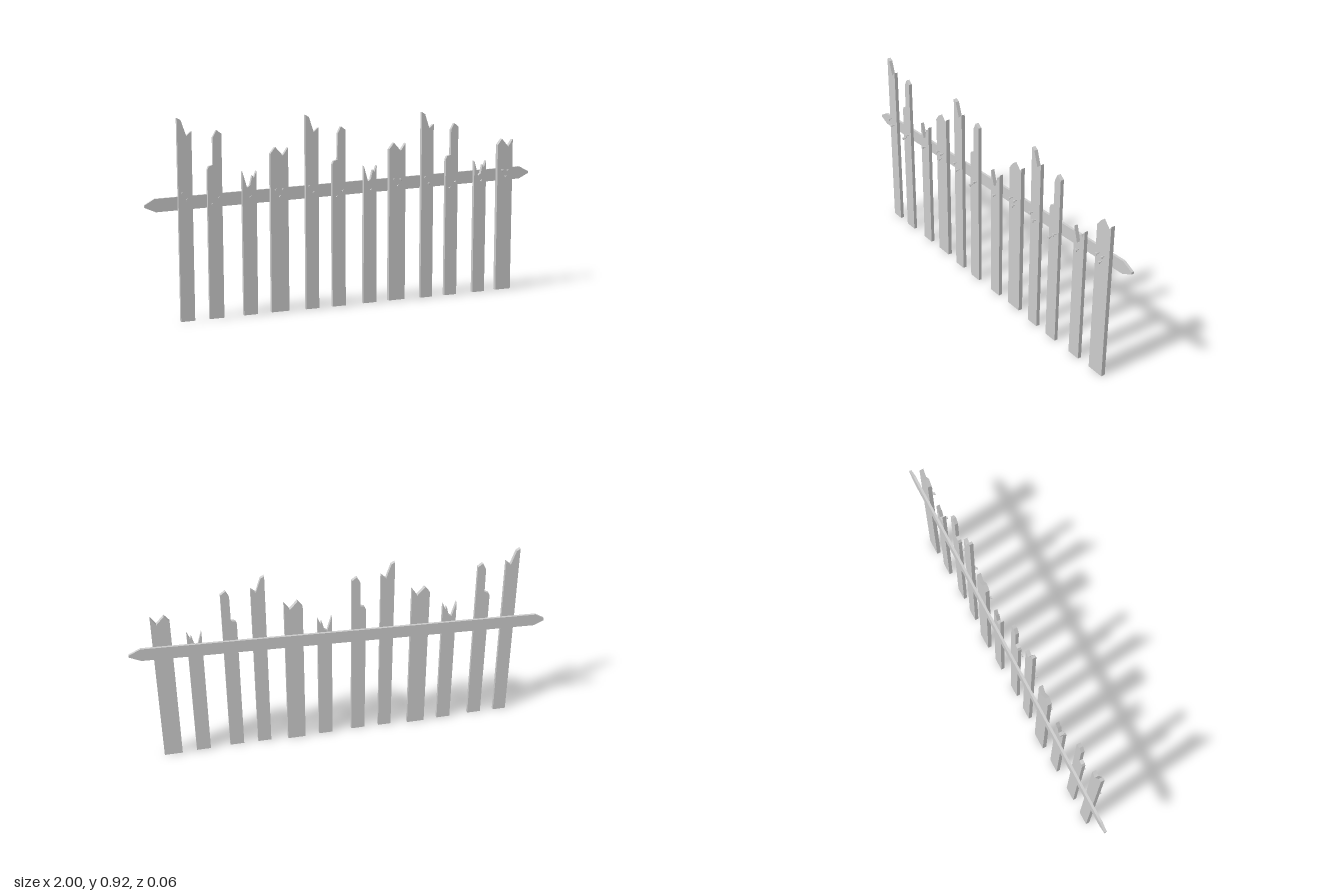
import * as THREE from 'three';

const material = new THREE.MeshStandardMaterial({ color: 0xcccccc, flatShading: true });

// Flat board cut from an outline, lying between two depths
function board(name, points, zBack, zFront) {
  const shape = new THREE.Shape(points.map(([x, y]) => new THREE.Vector2(x, y)));
  const geometry = new THREE.ExtrudeGeometry(shape, { depth: zFront - zBack, bevelEnabled: false });
  geometry.translate(0, 0, zBack);
  const mesh = new THREE.Mesh(geometry, material);
  mesh.name = name;
  return mesh;
}

// Nail sticking out of the front of a plank
function nail(x, y, z) {
  const group = new THREE.Group();
  group.name = 'nail';
  const shaft = new THREE.Mesh(new THREE.CylinderGeometry(0.003, 0.003, 0.018, 6), material);
  shaft.name = 'nailShaft';
  shaft.position.y = 0.007;
  const head = new THREE.Mesh(new THREE.CylinderGeometry(0.007, 0.007, 0.005, 8), material);
  head.name = 'nailHead';
  head.position.y = 0.0175;
  group.add(shaft, head);
  group.rotation.x = Math.PI / 2;
  group.position.set(x, y, z);
  return group;
}

// Four plank types: edges, depth, broken top (left to right), nails, nail lift per repeat
const planks = [
  {
    name: 'tallSplitPlank', left: -0.855, right: -0.79, back: -0.006, front: 0.012,
    top: [[-0.855, 0.92], [-0.838, 0.91], [-0.814, 0.84], [-0.807, 0.845], [-0.79, 0.86]],
    nails: [[-0.84, 0.586], [-0.818, 0.556]], lift: [0, 0.002, 0.015],
  },
  {
    name: 'steppedPlank', left: -0.72, right: -0.652, back: -0.005, front: 0.012,
    top: [[-0.72, 0.685], [-0.713, 0.7], [-0.693, 0.706], [-0.692, 0.83], [-0.675, 0.862], [-0.652, 0.845]],
    nails: [[-0.7, 0.53], [-0.671, 0.557]], lift: [0, 0, 0.014],
  },
  {
    name: 'shortJaggedPlank', left: -0.555, right: -0.487, back: -0.01, front: 0.008,
    top: [[-0.555, 0.67], [-0.533, 0.595], [-0.518, 0.605], [-0.507, 0.65], [-0.5, 0.637], [-0.487, 0.67]],
    nails: [[-0.519, 0.552]], lift: [0, 0.003, 0.018],
  },
  {
    name: 'widePlank', left: -0.417, right: -0.33, back: -0.016, front: 0.004,
    top: [[-0.417, 0.745], [-0.393, 0.775], [-0.356, 0.735], [-0.33, 0.772]],
    nails: [[-0.395, 0.578], [-0.361, 0.578], [-0.374, 0.546]], lift: [0, 0.02, 0.038],
  },
];

export function createModel() {
  const fence = new THREE.Group();
  fence.name = 'brokenFence';

  // Sloping rail with pointed ends, behind the planks
  fence.add(board('rail', [
    [-1, 0.524], [-0.95, 0.502], [0.945, 0.566], [1, 0.592],
    [1, 0.602], [0.945, 0.628], [-0.955, 0.562], [-1, 0.536],
  ], -0.033, -0.021));

  // The set of four planks repeats three times
  for (let i = 0; i < 3; i++) {
    const set = new THREE.Group();
    set.name = 'plankSet';
    set.position.x = i * 0.609;
    for (const p of planks) {
      const outline = [[p.left, 0], [p.right, 0], ...[...p.top].reverse()];
      set.add(board(p.name, outline, p.back, p.front));
      for (const [x, y] of p.nails) set.add(nail(x, y + p.lift[i], p.front));
    }
    fence.add(set);
  }
  return fence;
}
